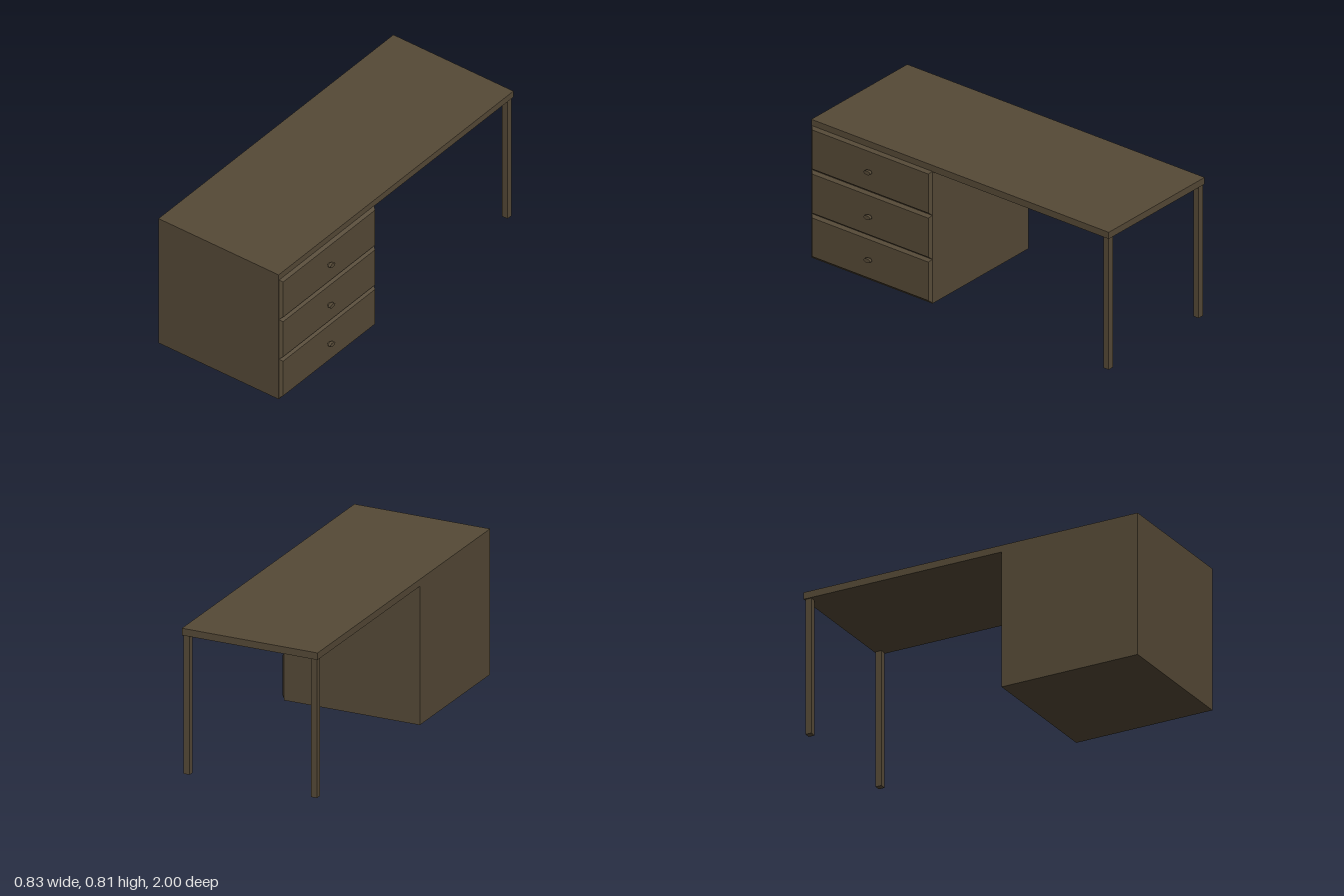
import * as THREE from 'three';

export function createModel() {
  const desk = new THREE.Group();
  desk.name = 'desk';
  const wood = new THREE.MeshStandardMaterial({ color: 0x554936 });
  wood.name = 'dark wood';

  const add = (name, geometry, x, y, z, parent = desk) => {
    const mesh = new THREE.Mesh(geometry, wood);
    mesh.name = name;
    mesh.position.set(x, y, z);
    parent.add(mesh);
    return mesh;
  };
  // Box given by its minimum and maximum corners
  const addBox = (name, [x0, y0, z0], [x1, y1, z1]) =>
    add(name, new THREE.BoxGeometry(x1 - x0, y1 - y0, z1 - z0), (x0 + x1) / 2, (y0 + y1) / 2, (z0 + z1) / 2);

  const back = -0.418, face = 0.374, under = 0.776, top = 0.815;

  // Table top and drawer cabinet
  addBox('tableTop', [back, under, -1], [face, top, 1]);
  addBox('cabinet', [back, 0, 0.185], [face, under, 1]);

  // Two square legs at the open end
  const leg = 0.035, inset = 0.007;
  for (const x of [back + inset, face - inset - leg]) {
    addBox('leg', [x, 0, -0.993], [x + leg, under, -0.993 + leg]);
  }

  // Drawer front: a box whose outer face is drawn in to make bevelled edges
  const depth = 0.016, bevel = 0.014;
  const frontGeometry = (h, w) => {
    const flat = new THREE.BoxGeometry(depth, h, w).toNonIndexed();
    const p = flat.attributes.position;
    for (let i = 0; i < p.count; i++) {
      if (p.getX(i) > 0) {
        p.setY(i, p.getY(i) - Math.sign(p.getY(i)) * bevel);
        p.setZ(i, p.getZ(i) - Math.sign(p.getZ(i)) * bevel);
      }
    }
    flat.computeVertexNormals();
    return flat;
  };

  // Oval knob parts, with the axis turned to point along x
  const oval = (ry, rz, length) =>
    new THREE.CylinderGeometry(1, 1, length, 12).rotateZ(-Math.PI / 2).scale(1, ry, rz);

  // Three drawers, each with a stemmed knob
  const drawers = [[0.005, 0.26, 0.133], [0.261, 0.519, 0.387], [0.521, 0.779, 0.651]];
  for (const [y0, y1, knobY] of drawers) {
    const drawer = new THREE.Group();
    drawer.name = 'drawer';
    desk.add(drawer);
    add('drawerFront', frontGeometry(y1 - y0, 0.81), face + depth / 2, (y0 + y1) / 2, 0.591, drawer);
    add('knobStem', oval(0.006, 0.011, 0.014), 0.395, knobY, 0.593, drawer);
    add('knobHead', oval(0.012, 0.022, 0.016), 0.408, knobY, 0.593, drawer);
  }
  return desk;
}
